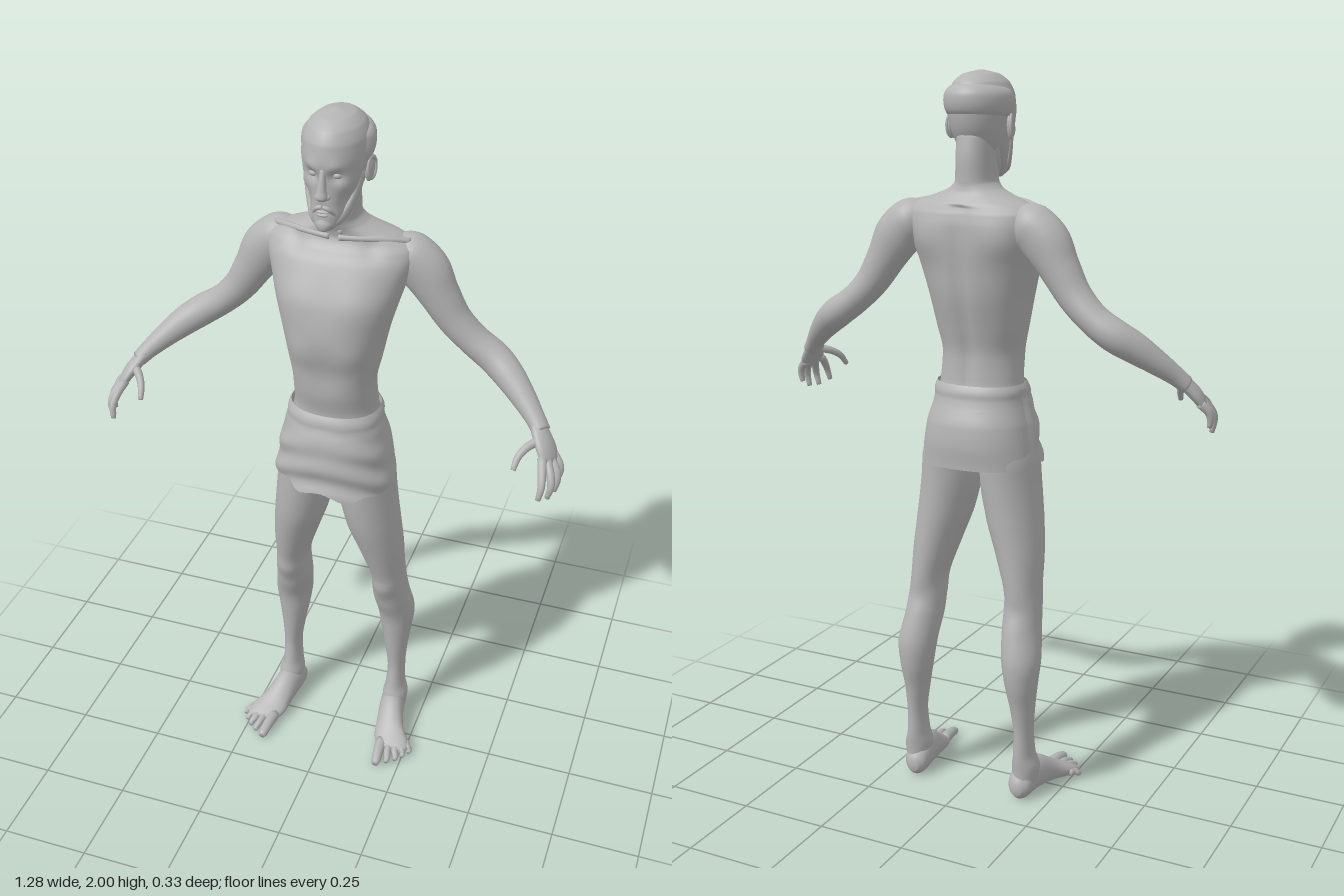
import * as THREE from 'three';

const V = (x, y, z) => new THREE.Vector3(x, y, z);
const clay = new THREE.MeshStandardMaterial({ color: 0xb4b4b4, side: THREE.DoubleSide });
clay.name = 'clay grey';

// Smooth grid surface from a rule fn(u, v); wraps in u when closed
function grid(nu, nv, fn, closed = true) {
  const pos = [], idx = [], cols = closed ? nu : nu + 1;
  for (let i = 0; i <= nv; i++)
    for (let j = 0; j < cols; j++) pos.push(...fn(j / nu, i / nv, i).toArray());
  for (let i = 0; i < nv; i++)
    for (let j = 0; j < nu; j++) {
      const k = closed ? (j + 1) % nu : j + 1;
      const a = i * cols + j, b = i * cols + k, c = a + cols, d = b + cols;
      idx.push(a, b, c, b, d, c);
    }
  const g = new THREE.BufferGeometry();
  g.setAttribute('position', new THREE.Float32BufferAttribute(pos, 3));
  g.setIndex(idx);
  g.computeVertexNormals();
  return g;
}

// Rows are [x, y, z, radius along side, radius across]
function tubeRule(rows, { side = V(1, 0, 0), up = null, e = 1 } = {}) {
  const path = new THREE.CatmullRomCurve3(rows.map(r => V(r[0], r[1], r[2])));
  const rad = new THREE.CatmullRomCurve3(rows.map(r => V(r[3], r[4] ?? r[3], 0)));
  const pw = n => Math.sign(n) * Math.abs(n) ** e;
  return (ang, t, grow = 0, scale = 1) => {
    const c = path.getPoint(t), r = rad.getPoint(t);
    const tan = up ?? path.getTangent(t);
    const a = side.clone().addScaledVector(tan, -side.dot(tan)).normalize();
    const b = tan.clone().cross(a);
    return c.addScaledVector(a, pw(Math.cos(ang)) * (r.x + grow) * scale)
      .addScaledVector(b, pw(Math.sin(ang)) * (r.y + grow) * scale);
  };
}

// Closed loft; bumps are mirrored dents and swells [x, y, z, size, amount]
function loft(rows, opt = {}) {
  const rule = tubeRule(rows, opt), { nu = 20, nv = 24, bumps = [], floor = false } = opt;
  return grid(nu, nv + 2, (u, v, i) => {
    const t = Math.min(Math.max((i - 1) / nv, 0), 1), ang = u * Math.PI * 2;
    let p = rule(ang, t, 0, i === 0 || i === nv + 2 ? 0 : 1);
    let grow = 0;
    for (const [x, y, z, s, k] of bumps)
      grow += k * Math.exp(-((Math.abs(p.x) - x) ** 2 + (p.y - y) ** 2 + (p.z - z) ** 2) / (s * s));
    if (opt.groove) grow += opt.groove(p);
    if (grow && i > 0 && i < nv + 2) p = rule(ang, t, grow);
    if (floor) p.y = Math.max(p.y, 0);
    return p;
  });
}

const UP = V(0, 1, 0);

export function createModel() {
  const root = new THREE.Group();
  root.name = 'standingMan';
  const add = (name, geo, parent = root) => {
    const m = new THREE.Mesh(geo, clay);
    m.name = name;
    parent.add(m);
    return m;
  };
  const ball = (name, x, y, z, sx, sy, sz) => {
    const m = add(name, new THREE.SphereGeometry(1, 20, 14));
    m.position.set(x, y, z);
    m.scale.set(sx, sy, sz);
    return m;
  };

  // Torso and neck
  add('torso', loft([
    [0, 0.98, -0.02, 0.12, 0.08], [0, 1.08, -0.025, 0.138, 0.122], [0, 1.18, -0.018, 0.115, 0.094],
    [0, 1.26, -0.005, 0.112, 0.1], [0, 1.33, -0.01, 0.125, 0.112], [0, 1.42, -0.016, 0.143, 0.128],
    [0, 1.5, -0.027, 0.165, 0.126], [0, 1.56, -0.042, 0.183, 0.116], [0, 1.61, -0.055, 0.197, 0.103],
    [0, 1.64, -0.063, 0.195, 0.089], [0, 1.665, -0.066, 0.16, 0.075], [0, 1.685, -0.058, 0.105, 0.068],
    [0, 1.7, -0.052, 0.07, 0.068], [0, 1.72, -0.047, 0.052, 0.071], [0, 1.78, -0.043, 0.05, 0.075],
    [0, 1.84, -0.04, 0.05, 0.07]
  ], {
    up: UP, e: 0.9, nu: 64, nv: 90,
    bumps: [
      [0.08, 1.52, 0.07, 0.055, 0.008], [0.1, 1.57, -0.14, 0.05, 0.01], [0, 1.3, 0.1, 0.055, -0.009],
      [0.065, 1.37, 0.09, 0.04, 0.006], [0.1, 1.64, 0, 0.025, -0.01], [0.045, 1.25, -0.1, 0.05, 0.004]
    ],
    groove: p => p.z < -0.06 && p.y < 1.66 ? -0.009 * Math.exp(-((p.x / 0.02) ** 2)) : 0
  }));

  // Loincloth: front flap overlaps the back wrap at the hips
  const cloth = tubeRule([
    [0, 1.18, -0.017, 0.123, 0.1], [0, 1.14, -0.018, 0.132, 0.115], [0, 1.08, -0.022, 0.147, 0.132],
    [0, 1.03, -0.024, 0.156, 0.135], [0, 0.98, -0.022, 0.164, 0.133], [0, 0.91, -0.021, 0.17, 0.134]
  ], { up: UP, e: 0.88 });
  const clothPoint = (u, v) => {
    const ang = u * Math.PI * 2, s = Math.sin(ang), c = Math.cos(ang), front = Math.max(0, -s);
    const hem = 0.955 - front * (0.012 + 0.02 * c + 0.008 * Math.sin(9 * ang))
      + 0.025 * Math.exp(-((s / 0.1) ** 2));
    const y = 1.18 + (hem - 1.18) * v;
    const folds = 0.006 * Math.min(1, front * 2) * v * Math.sin(y * 75 + 5 * c * c);
    const band = v < 0.16 ? 0.004 * Math.sin(v / 0.16 * Math.PI) : 0;
    const p = cloth(ang, (1.18 - y) / 0.27, folds + band + (s < 0.02 ? 0.006 * Math.min(1, v * 4) : 0));
    p.y = y;
    return p;
  };
  add('loincloth', grid(96, 40, (u, v) => clothPoint(-u, v)));

  // Head
  const skull = [
    [0, 1.722, 0.06, 0.018, 0.025], [0, 1.735, 0.052, 0.034, 0.044], [0, 1.76, 0.034, 0.049, 0.061],
    [0, 1.8, 0.004, 0.065, 0.088], [0, 1.85, -0.013, 0.077, 0.104], [0, 1.9, -0.017, 0.084, 0.111],
    [0, 1.94, -0.02, 0.082, 0.107], [0, 1.97, -0.021, 0.068, 0.091], [0, 1.99, -0.022, 0.044, 0.06],
    [0, 2, -0.022, 0.006, 0.008]
  ];
  add('head', loft(skull, {
    up: UP, nu: 64, nv: 72,
    bumps: [
      [0.03, 1.888, 0.088, 0.016, 0.005], [0.031, 1.866, 0.085, 0.015, -0.012],
      [0.05, 1.84, 0.06, 0.02, 0.006], [0.05, 1.797, 0.055, 0.025, -0.008], [0, 1.785, 0.095, 0.012, -0.004]
    ]
  }));

  // Hair band round the back and sides of the bald crown
  const scalp = tubeRule(skull, { up: UP });
  add('hair', grid(48, 14, (u, v) => {
    const ang = -0.2 + u * (Math.PI + 0.4), back = Math.sin(u * Math.PI);
    const low = 4.5 + 0.25 * back, high = 6.2 + 0.7 * Math.sqrt(back);
    const puff = Math.sqrt(Math.sin(v * Math.PI) * Math.min(1, back * 4 + 0.05));
    return scalp(ang, (low + (high - low) * v) / 9, -0.003 + 0.014 * puff);
  }, false));

  // Face
  add('nose', loft([
    [0, 1.885, 0.085, 0.008, 0.01], [0, 1.86, 0.092, 0.009, 0.012], [0, 1.835, 0.098, 0.012, 0.013],
    [0, 1.817, 0.1, 0.016, 0.015], [0, 1.808, 0.097, 0.01, 0.009]
  ], { up: UP }));
  ball('upperLip', 0, 1.776, 0.092, 0.018, 0.004, 0.007);
  ball('lowerLip', 0, 1.768, 0.092, 0.015, 0.005, 0.007);
  add('goatee', loft([
    [0, 1.757, 0.08, 0.018, 0.015], [0, 1.742, 0.08, 0.024, 0.02],
    [0, 1.728, 0.081, 0.017, 0.017], [0, 1.72, 0.08, 0.006, 0.006]
  ], { up: UP }));

  // Shared shape of fingers and toes
  const digit = (pts, r, s, floor = false) => {
    const n = pts.length - 1;
    return loft(pts.map(([x, y, z], i) => [x * s, y, z, i === n ? r * 0.55 : r * (1 - 0.12 * i)]),
      { side: V(0.6 * s, 0.1, 0.8), nu: 12, nv: 10, floor });
  };

  for (const s of [1, -1]) {
    const tag = s > 0 ? 'left' : 'right';
    const m = rows => rows.map(([x, ...rest]) => [x * s, ...rest]);

    // Eye, ear, beard line and moustache
    ball(tag + 'Eye', 0.03 * s, 1.866, 0.068, 0.013, 0.009, 0.012);
    ball(tag + 'Nostril', 0.013 * s, 1.815, 0.092, 0.007, 0.007, 0.01);
    const ear = ball(tag + 'Ear', 0.083 * s, 1.855, -0.022, 0.008, 0.032, 0.018);
    ear.rotation.set(-0.2, -0.35 * s, 0);
    const rim = add(tag + 'EarRim', new THREE.TorusGeometry(0.016, 0.004, 8, 24));
    rim.position.set(0.088 * s, 1.858, -0.024);
    rim.rotation.set(0, (Math.PI / 2 - 0.35) * s, 0);
    rim.scale.y = 1.7;
    add(tag + 'Beard', loft(m([
      [0.075, 1.86, 0.008, 0.004, 0.008], [0.067, 1.82, 0.018, 0.006, 0.013], [0.052, 1.775, 0.04, 0.007, 0.015],
      [0.032, 1.748, 0.067, 0.008, 0.013], [0.008, 1.738, 0.084, 0.008, 0.012]
    ]), { side: V(s, 0, 0.4) }));
    add(tag + 'Moustache', loft(m([
      [0, 1.79, 0.094, 0.005], [0.014, 1.785, 0.092, 0.006], [0.026, 1.768, 0.08, 0.005], [0.03, 1.748, 0.07, 0.004]
    ]), { side: V(0, 0, 1), nu: 12 }));

    // Neck muscle and collarbone
    add(tag + 'NeckMuscle', loft(m([
      [0.05, 1.83, -0.05, 0.01], [0.042, 1.76, -0.018, 0.012], [0.015, 1.685, 0.008, 0.008]
    ]), { nu: 12 }));
    add(tag + 'Collarbone', loft(m([
      [0.012, 1.672, 0.006, 0.009], [0.07, 1.672, -0.004, 0.008], [0.13, 1.667, -0.03, 0.009], [0.18, 1.658, -0.06, 0.008]
    ]), { side: V(0, 1, 0), nu: 12 }));

    // Arm
    add(tag + 'Arm', loft(m([
      [0.13, 1.625, -0.08, 0.04, 0.035], [0.175, 1.61, -0.082, 0.062, 0.06], [0.215, 1.573, -0.084, 0.066, 0.058],
      [0.255, 1.51, -0.085, 0.054, 0.052], [0.3, 1.44, -0.088, 0.045, 0.047], [0.355, 1.385, -0.092, 0.041, 0.047],
      [0.41, 1.347, -0.088, 0.043, 0.047], [0.455, 1.317, -0.066, 0.041, 0.042], [0.505, 1.277, -0.033, 0.033, 0.035],
      [0.548, 1.238, 0, 0.025, 0.028], [0.57, 1.215, 0.018, 0.022, 0.028]
    ]), { side: V(0.6 * s, 0.8, 0), nu: 28, nv: 50 }));

    // Hand
    const hand = new THREE.Group();
    hand.name = tag + 'Hand';
    root.add(hand);
    add(tag + 'Palm', loft(m([
      [0.556, 1.23, 0.008, 0.024, 0.018], [0.572, 1.21, 0.027, 0.032, 0.018], [0.59, 1.185, 0.045, 0.038, 0.017],
      [0.602, 1.163, 0.058, 0.038, 0.014], [0.607, 1.152, 0.064, 0.03, 0.009]
    ]), { side: V(-0.35 * s, 0.15, 0.9) }), hand);
    const fingers = {
      Thumb: [[0.572, 1.205, 0.045], [0.545, 1.195, 0.075], [0.529, 1.177, 0.1], [0.523, 1.15, 0.122]],
      IndexFinger: [[0.588, 1.172, 0.08], [0.597, 1.15, 0.115], [0.602, 1.122, 0.138], [0.598, 1.09, 0.147]],
      MiddleFinger: [[0.598, 1.165, 0.068], [0.616, 1.137, 0.096], [0.622, 1.11, 0.11], [0.615, 1.078, 0.112]],
      RingFinger: [[0.604, 1.162, 0.05], [0.626, 1.135, 0.068], [0.631, 1.11, 0.076], [0.626, 1.08, 0.078]],
      LittleFinger: [[0.606, 1.165, 0.03], [0.627, 1.142, 0.04], [0.632, 1.122, 0.044], [0.629, 1.1, 0.046]]
    };
    for (const [name, pts] of Object.entries(fingers)) add(tag + name, digit(pts, 0.0125, s), hand);

    // Leg
    add(tag + 'Leg', loft(m([
      [0.172, 0.04, -0.085, 0.032, 0.045], [0.172, 0.09, -0.085, 0.038, 0.048], [0.17, 0.13, -0.092, 0.029, 0.044],
      [0.17, 0.2, -0.097, 0.026, 0.039], [0.167, 0.28, -0.1, 0.034, 0.046], [0.165, 0.35, -0.105, 0.045, 0.057],
      [0.163, 0.42, -0.102, 0.054, 0.064], [0.153, 0.5, -0.077, 0.052, 0.071], [0.15, 0.55, -0.065, 0.05, 0.071],
      [0.147, 0.6, -0.056, 0.048, 0.074], [0.13, 0.7, -0.04, 0.062, 0.087], [0.108, 0.8, -0.027, 0.075, 0.1],
      [0.092, 0.9, -0.022, 0.08, 0.106], [0.088, 0.97, -0.022, 0.078, 0.108], [0.085, 1.05, -0.022, 0.06, 0.09]
    ]), {
      up: UP, nu: 36, nv: 70,
      bumps: [[0.15, 0.565, 0, 0.03, 0.008], [0.15, 0.5, 0, 0.025, -0.004], [0.15, 0.56, -0.13, 0.035, -0.006]]
    }));

    // Foot and toes
    const foot = new THREE.Group();
    foot.name = tag + 'Foot';
    root.add(foot);
    add(tag + 'Sole', loft(m([
      [0.166, 0.035, -0.14, 0.014, 0.018], [0.167, 0.042, -0.12, 0.033, 0.042], [0.169, 0.053, -0.08, 0.038, 0.054],
      [0.176, 0.05, -0.03, 0.039, 0.052], [0.188, 0.036, 0.02, 0.044, 0.038], [0.202, 0.025, 0.055, 0.053, 0.027],
      [0.211, 0.019, 0.08, 0.05, 0.02], [0.212, 0.016, 0.098, 0.04, 0.013]
    ]), { up: V(0, 0, 1), nu: 28, floor: true }), foot);
    const toes = [
      [0.177, 0.07, 0.184, 0.163, 0.018], [0.203, 0.08, 0.213, 0.145, 0.012], [0.222, 0.075, 0.235, 0.128, 0.012],
      [0.238, 0.065, 0.252, 0.108, 0.011], [0.248, 0.05, 0.267, 0.085, 0.011]
    ];
    toes.forEach(([x0, z0, x1, z1, r], i) => add(tag + 'Toe' + (i + 1), digit([
      [x0, 0.02, z0], [(x0 + x1) / 2, 0.02, (z0 + z1) / 2], [x1, 0.013, z1 - 0.012], [x1, 0.01, z1]
    ], r, s, true), foot));
  }
  return root;
}
